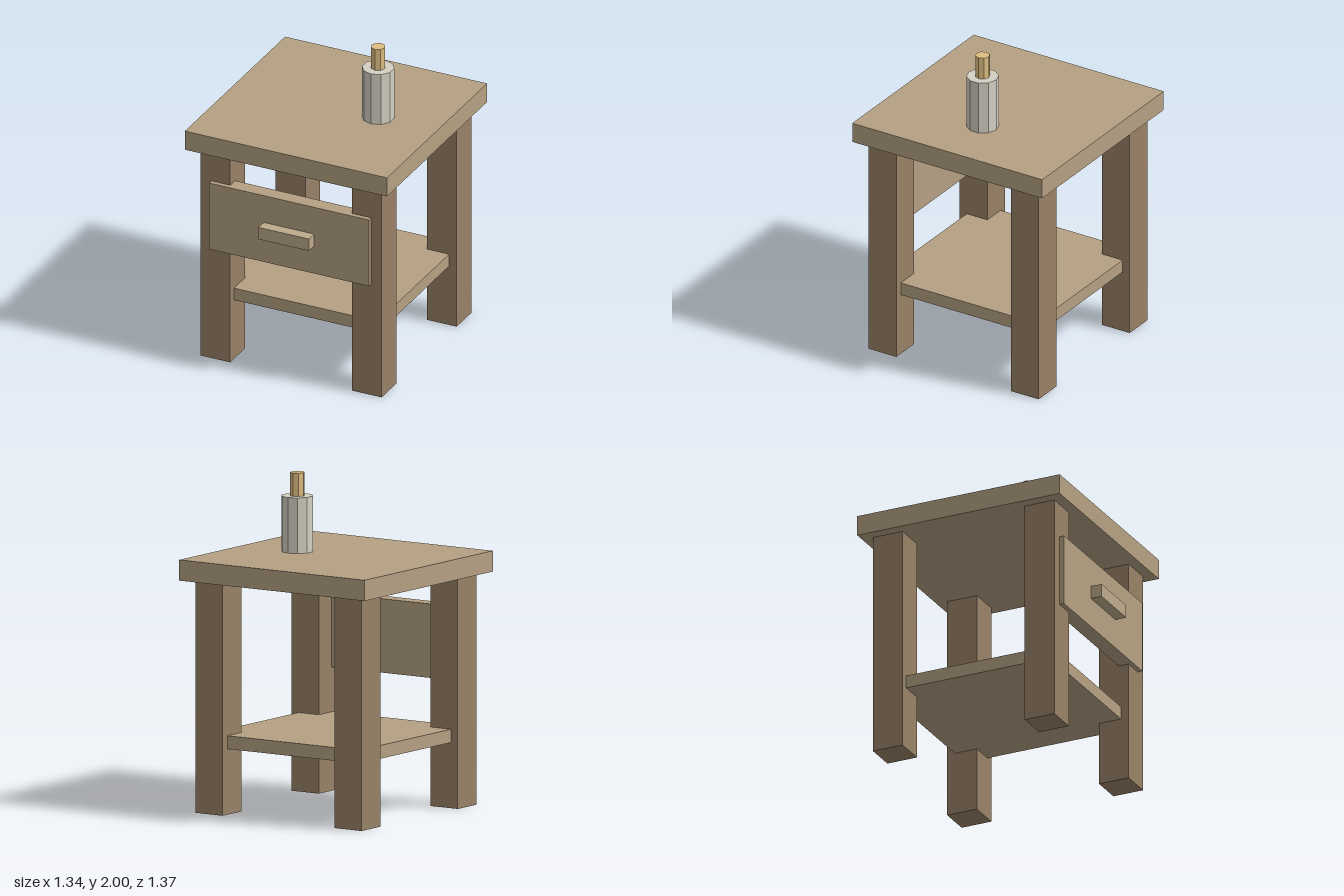
import * as THREE from 'three';

const ZC = -0.015; // depth centre of the table body

const mat = (color) => new THREE.MeshStandardMaterial({ color, flatShading: true });

export function createModel() {
  const model = new THREE.Group();
  model.name = 'sideTable';

  const wood = mat(0xb5a183);
  const darkWood = mat(0x998267);
  const paleWood = mat(0xbfab8c);
  const wax = mat(0xd4d0c3);
  const gold = mat(0xdebe82);

  const add = (name, geometry, material, x, y, z) => {
    const mesh = new THREE.Mesh(geometry, material);
    mesh.name = name;
    mesh.position.set(x, y, z);
    model.add(mesh);
  };
  // Box given by its size, bottom height and front face
  const box = (name, material, w, h, d, x, bottom, front) =>
    add(name, new THREE.BoxGeometry(w, h, d), material, x, bottom + h / 2, front - d / 2);

  // Table top and lower shelf, whose corners run into the legs
  box('tableTop', wood, 1.34, 0.125, 1.34, 0, 1.4, ZC + 0.67);
  box('shelf', wood, 1.1, 0.08, 1.1, 0, 0.395, ZC + 0.55);

  // Four square legs
  for (const [side, sx] of [['Left', 1], ['Right', -1]]) {
    for (const [end, sz] of [['front', 1], ['back', -1]]) {
      box(`${end}${side}Leg`, darkWood, 0.196, 1.4, 0.196, sx * 0.502, 0, ZC + sz * 0.502 + 0.098);
    }
  }

  // Drawer front with its handle
  box('drawerFront', wood, 1.06, 0.445, 0.095, 0, 0.745, 0.615);
  box('drawerHandle', paleWood, 0.335, 0.08, 0.075, 0, 0.93, 0.685);

  // Candle body and its narrow tip
  add('candle', new THREE.CylinderGeometry(0.097, 0.097, 0.335, 10), wax, 0.28, 1.6925, ZC);
  add('candleTip', new THREE.CylinderGeometry(0.044, 0.044, 0.14, 8), gold, 0.28, 1.93, ZC);

  return model;
}
